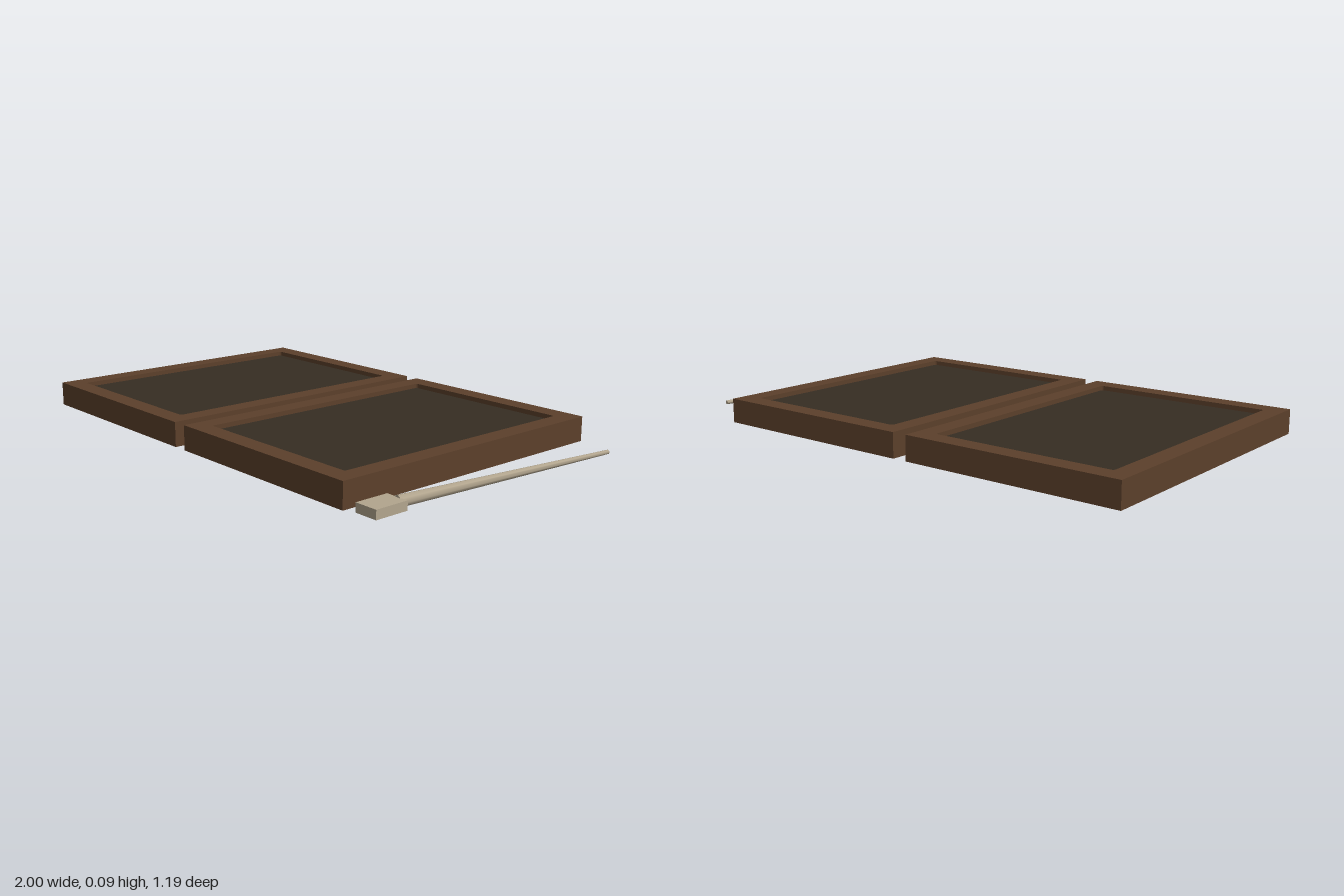
import * as THREE from 'three';

const mat = (name, color, flatShading = false) => {
  const m = new THREE.MeshStandardMaterial({ color, flatShading });
  m.name = name;
  return m;
};

export function createModel() {
  const wood = mat('dark wood', 0x5c402b);
  const wax = mat('black wax', 0x362d23);
  const bone = mat('bone', 0xb2a58e);
  const group = new THREE.Group();

  const add = (name, geometry, material, x, y, z, parent = group) => {
    const mesh = new THREE.Mesh(geometry, material);
    mesh.name = name;
    mesh.position.set(x, y, z);
    parent.add(mesh);
    return mesh;
  };

  const W = 0.862, D = 1.194, H = 0.095, floor = 0.04, waxTop = 0.077;
  const waxW = 0.715, waxD = 1.046, r = 0.01;

  // Rim outline with a slightly rounded window
  const rim = new THREE.Shape([
    [-W / 2, -D / 2], [W / 2, -D / 2], [W / 2, D / 2], [-W / 2, D / 2],
  ].map(([x, y]) => new THREE.Vector2(x, y)));
  const a = waxW / 2, b = waxD / 2;
  const opening = new THREE.Path();
  opening.absarc(a - r, b - r, r, 0, Math.PI / 2);
  opening.absarc(-a + r, b - r, r, Math.PI / 2, Math.PI);
  opening.absarc(-a + r, -b + r, r, Math.PI, Math.PI * 1.5);
  opening.absarc(a - r, -b + r, r, Math.PI * 1.5, Math.PI * 2);
  opening.closePath();
  rim.holes.push(opening);
  const rimGeo = new THREE.ExtrudeGeometry(rim, { depth: H - floor, bevelEnabled: false, curveSegments: 4 });
  rimGeo.rotateX(-Math.PI / 2);

  // Two wooden leaves, each with a sunken wax panel
  for (const [name, x] of [['rightLeaf', -0.569], ['leftLeaf', 0.351]]) {
    const leaf = new THREE.Group();
    leaf.name = name;
    leaf.position.x = x;
    group.add(leaf);
    add('backBoard', new THREE.BoxGeometry(W, floor, D), wood, 0, floor / 2, 0, leaf);
    add('rim', rimGeo, wood, 0, floor, 0, leaf);
    add('waxPanel', new THREE.BoxGeometry(waxW, waxTop - floor, waxD), wax, 0, (waxTop + floor) / 2, 0, leaf);
  }

  // Hinge straps across the gap
  for (const z of [-0.334, 0.331]) {
    add('hinge', new THREE.BoxGeometry(0.08, 0.028, 0.158), wood, -0.109, 0.046, z);
  }

  // Stylus: tapered shaft lying at a slight angle, with a flat eraser block
  const start = new THREE.Vector3(0.889, 0.029, 0.47);
  const end = new THREE.Vector3(0.99, 0.029, -0.468);
  const axis = end.clone().sub(start);
  const mid = start.clone().add(end).multiplyScalar(0.5);
  const shaft = add('stylusShaft', new THREE.CylinderGeometry(0.008, 0.021, axis.length(), 8), bone, mid.x, mid.y, mid.z);
  shaft.quaternion.setFromUnitVectors(new THREE.Vector3(0, 1, 0), axis.normalize());
  add('stylusEraser', new THREE.BoxGeometry(0.09, 0.033, 0.131), bone, 0.885, 0.026, 0.5315);

  return group;
}
